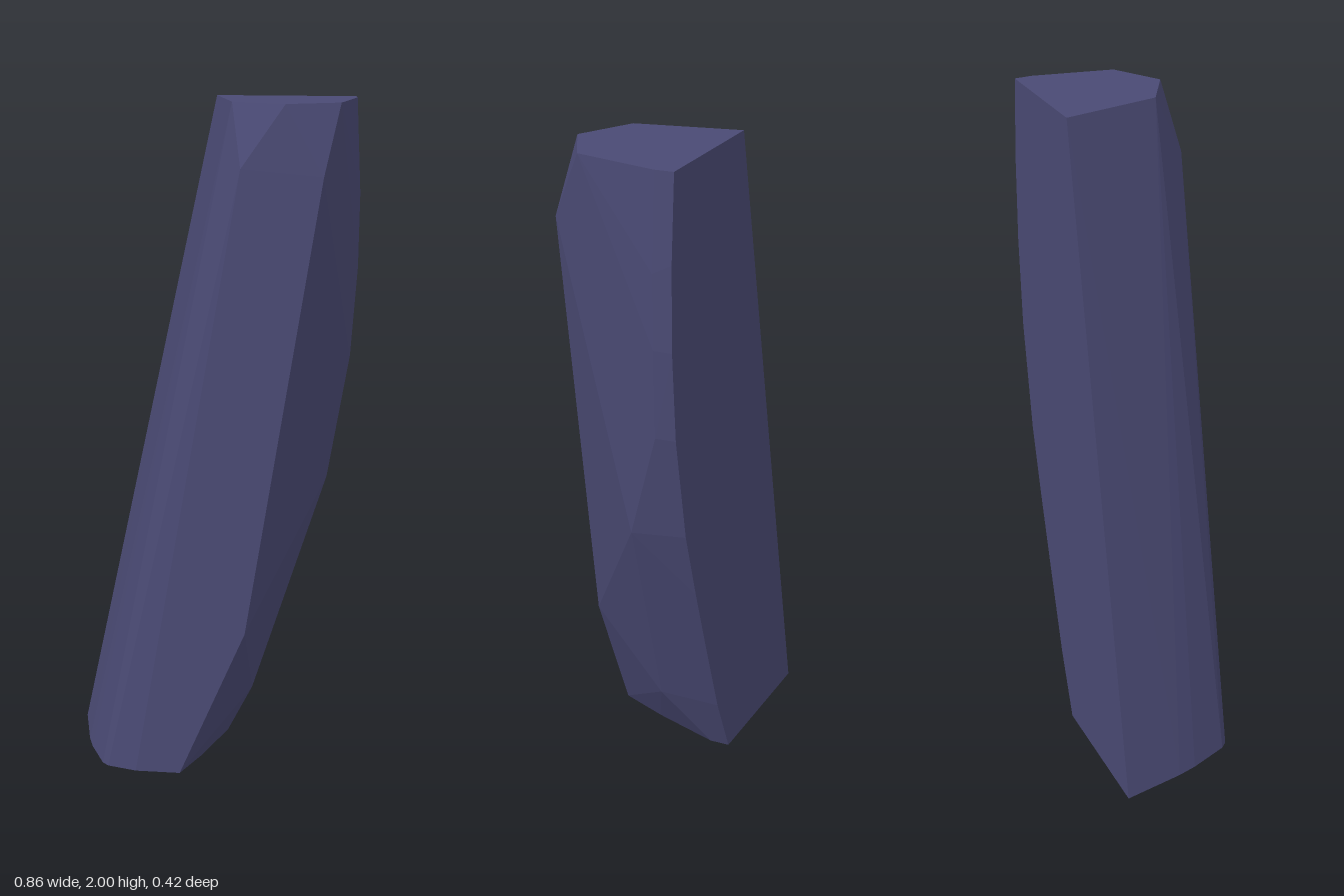
import * as THREE from 'three';
import { ConvexGeometry } from 'three/addons/geometries/ConvexGeometry.js';

export function createModel() {
  const group = new THREE.Group();
  group.name = 'leaningStone';
  const slate = new THREE.MeshStandardMaterial({ color: 0x4a4a74 });
  slate.name = 'slateBlue';

  // Outline of the base, as x, z
  const base = [[-0.43, -0.21], [-0.385, -0.02], [-0.365, 0.04], [-0.31, 0.16], [-0.29, 0.18],
    [-0.2, 0.207], [-0.065, 0.207], [-0.015, 0.06], [0.04, -0.15], [0.035, -0.21]];
  // Outline of the top, as x, z
  const top = [[-0.005, -0.21], [0.41, -0.21], [0.417, -0.155], [0.385, 0.09], [0.235, 0.175], [0.075, 0.09]];
  // Bowed back edge on the right, as x, y
  const backEdge = [[0.118, 0.2], [0.2, 0.45], [0.273, 0.68], [0.338, 0.9], [0.4, 1.23], [0.422, 1.5], [0.424, 1.75]];
  // Facet corners on the right side and the front, as x, y, z
  const corners = [[0.13, 0.2, -0.02], [0.35, 0.88, -0.04], [0.408, 1.23, -0.15], [0.427, 1.5, -0.155], [0.43, 1.72, -0.155],
    [0.13, 0.45, 0.2], [0.345, 1.8, 0.185], [0.11, 1.82, 0.187]];

  const points = [
    ...base.map(([x, z]) => new THREE.Vector3(x, 0, z)),
    ...top.map(([x, z]) => new THREE.Vector3(x, 2, z)),
    ...backEdge.map(([x, y]) => new THREE.Vector3(x, y, -0.21)),
    ...corners.map((p) => new THREE.Vector3(...p)),
  ];

  // Faceted stone body
  const body = new THREE.Mesh(new ConvexGeometry(points), slate);
  body.name = 'stoneBody';
  group.add(body);
  return group;
}
